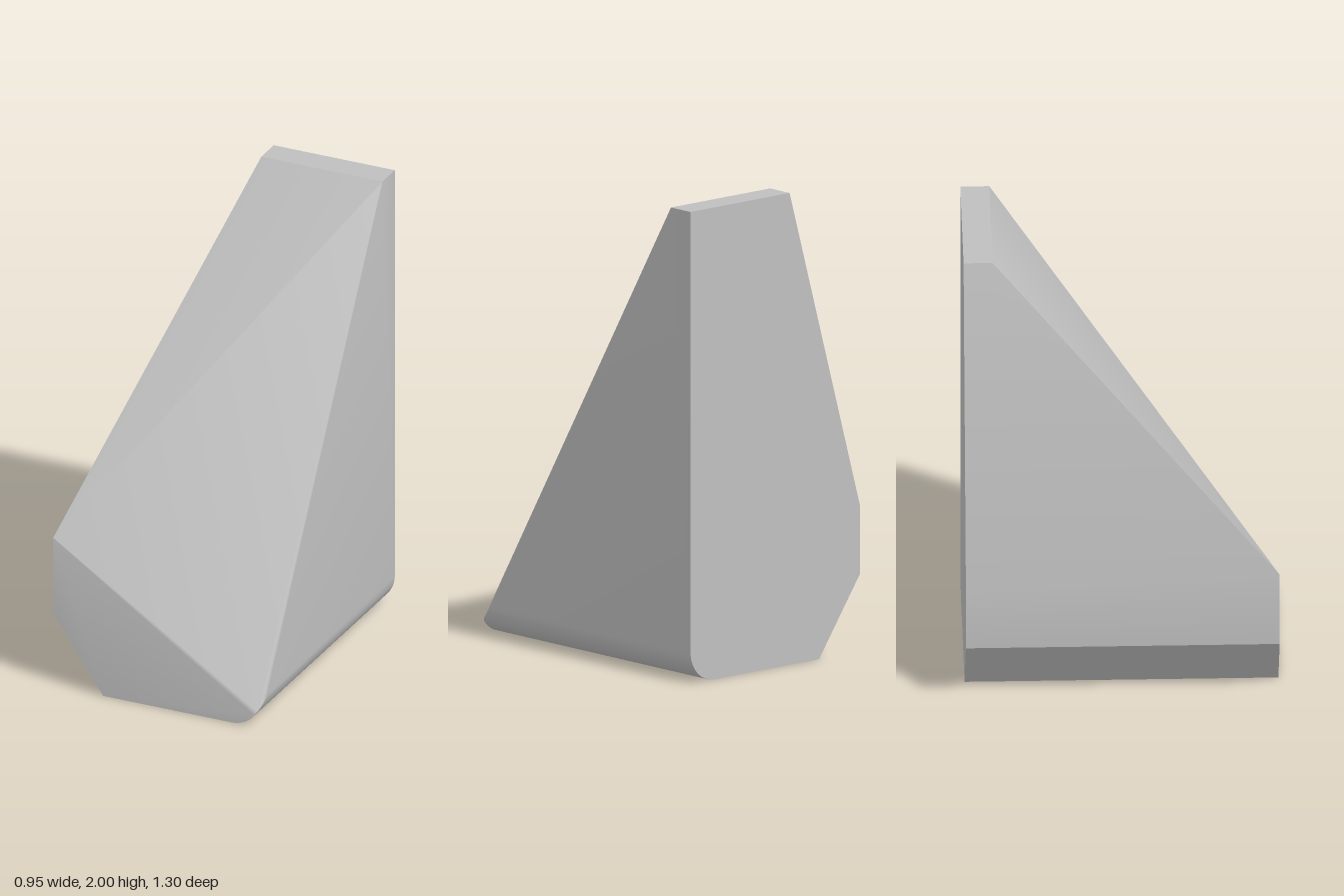
import * as THREE from 'three';
import { ConvexGeometry } from 'three/addons/geometries/ConvexGeometry.js';
import { toCreasedNormals } from 'three/addons/utils/BufferGeometryUtils.js';

const W = 0.475, D = 0.65;       // half width, half depth
const R = 0.135;                 // radius of the rounded lower edge
const STEPS = 12;

export function createModel() {
  const grey = new THREE.MeshStandardMaterial({ color: 0xbfbfbf });
  grey.name = 'grey';

  // corners of the convex wedge
  const points = [
    [-W, 0.33, D], [-W, 0.33, -D],         // chamfer, upper edge
    [-0.245, 0, D], [-0.245, 0, -D],       // chamfer, lower edge
    [-W, 0.68, D], [-W, 0.615, -D],        // start of the leaning side
    [-0.08, 2, -0.53], [-0.08, 2, -D],     // narrow top
    [W, 2, -0.53], [W, 2, -D],
  ].map((p) => new THREE.Vector3(...p));

  // rounded lower edge, cut back at the front where the slope meets it
  for (let i = 0; i <= STEPS; i++) {
    const a = (i / STEPS - 1) * Math.PI / 2;
    const x = W - R + R * Math.cos(a);
    const y = R + R * Math.sin(a);
    const z = D - 0.08 * Math.max(0, (y - 0.06) / (R - 0.06));
    points.push(new THREE.Vector3(x, y, z), new THREE.Vector3(x, y, -D));
  }

  const geometry = toCreasedNormals(new ConvexGeometry(points), 0.5);
  const wedge = new THREE.Mesh(geometry, grey);
  wedge.name = 'slopedWedge';

  const group = new THREE.Group();
  group.name = 'wedgeBlock';
  group.add(wedge);
  return group;
}
